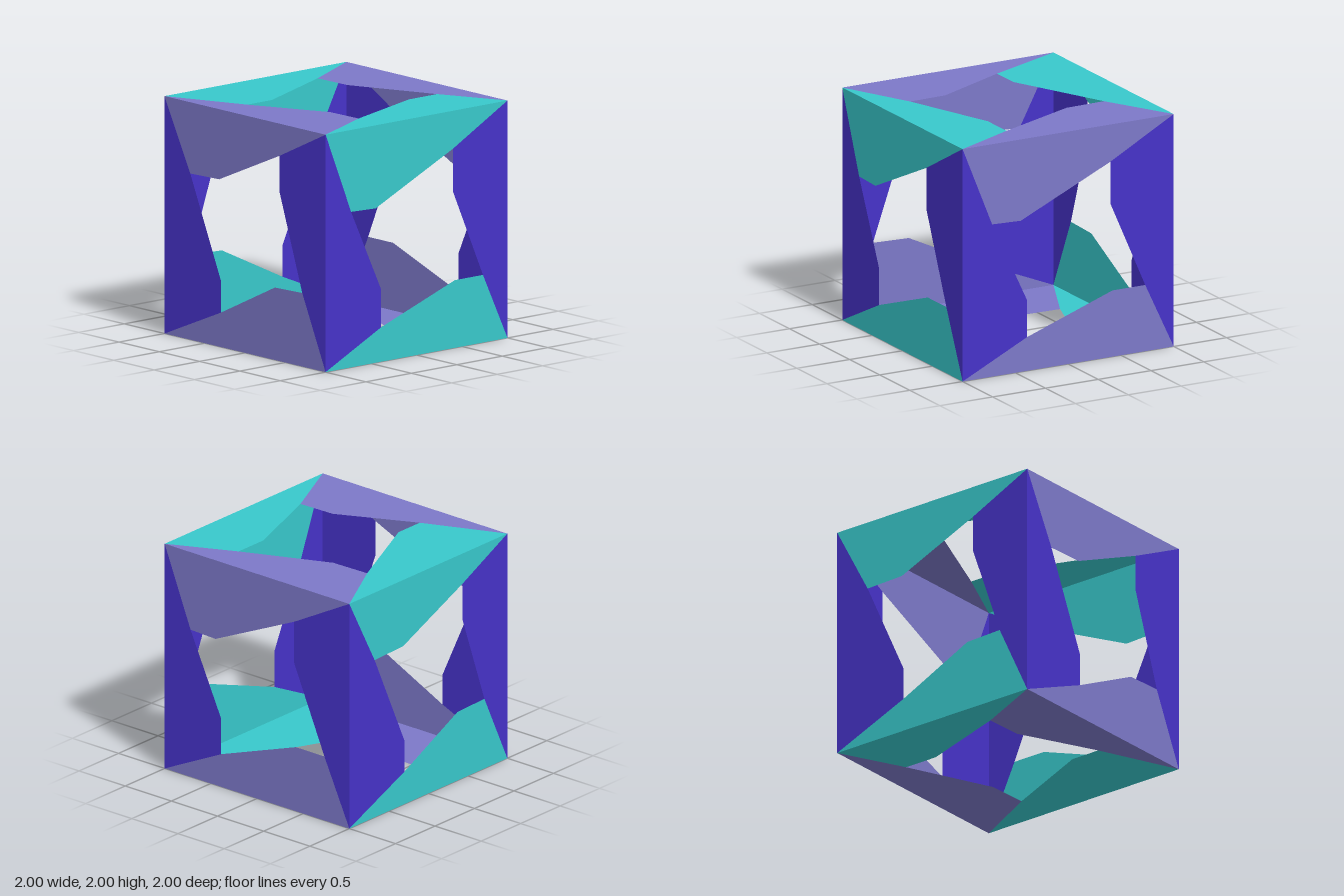
import * as THREE from 'three';

const X = new THREE.Vector3(1, 0, 0), Y = new THREE.Vector3(0, 1, 0), Z = new THREE.Vector3(0, 0, 1);

// One colour for each direction of cube edge
const material = (color) => new THREE.MeshStandardMaterial({ color, flatShading: true, side: THREE.DoubleSide });

// Corners of a face, clockwise from top left
const CORNERS = [[-1, 1], [1, 1], [1, -1], [-1, -1]];

// Two pinwheel layouts: where each corner's seam ends, and each flap's free inner point
const WHEEL_A = {
  seams: [[-0.68, 0.4], [0.43, 0.73], [0.71, -0.38], [-0.3, -0.71]],
  inner: [[-0.32, 0.41], [0.43, 0.42], [0.37, -0.39], [-0.3, -0.44]],
};
const WHEEL_B = {
  seams: [[-0.72, 0.31], [0.4, 0.68], [0.73, -0.43], [-0.39, -0.71]],
  inner: [[-0.45, 0.3], [0.4, 0.32], [0.42, -0.43], [-0.39, -0.39]],
};
const FLAPS = ['topFlap', 'rightFlap', 'bottomFlap', 'leftFlap'];

// A face of four flat flaps meeting along the seams, around an open centre
function makeFace(name, normal, up, wheel, acrossMat, uprightMat) {
  const face = new THREE.Group();
  face.name = name;
  FLAPS.forEach((flapName, i) => {
    const j = (i + 1) % 4;
    const outline = [CORNERS[i], CORNERS[j], wheel.seams[j], wheel.inner[i], wheel.seams[i]];
    const shape = new THREE.Shape(outline.map(([x, y]) => new THREE.Vector2(x, y)));
    const flap = new THREE.Mesh(new THREE.ShapeGeometry(shape), i % 2 ? uprightMat : acrossMat);
    flap.name = flapName;
    flap.position.z = 1;
    face.add(flap);
  });
  const right = new THREE.Vector3().crossVectors(up, normal);
  face.quaternion.setFromRotationMatrix(new THREE.Matrix4().makeBasis(right, up, normal));
  face.position.y = 1;
  return face;
}

export function createModel() {
  const model = new THREE.Group();
  model.name = 'foldedCube';
  const alongX = material(0x7c78c8);
  const alongY = material(0x4632c8);
  const alongZ = material(0x38c8cb);
  const back = Z.clone().negate(), left = X.clone().negate(), down = Y.clone().negate();

  model.add(
    makeFace('frontFace', Z, Y, WHEEL_A, alongX, alongY),
    makeFace('leftFace', X, Y, WHEEL_B, alongZ, alongY),
    makeFace('backFace', back, Y, WHEEL_B, alongX, alongY),
    makeFace('rightFace', left, Y, WHEEL_A, alongZ, alongY),
    makeFace('topFace', Y, back, WHEEL_A, alongX, alongZ),
    makeFace('bottomFace', down, back, WHEEL_A, alongX, alongZ),
  );
  return model;
}
